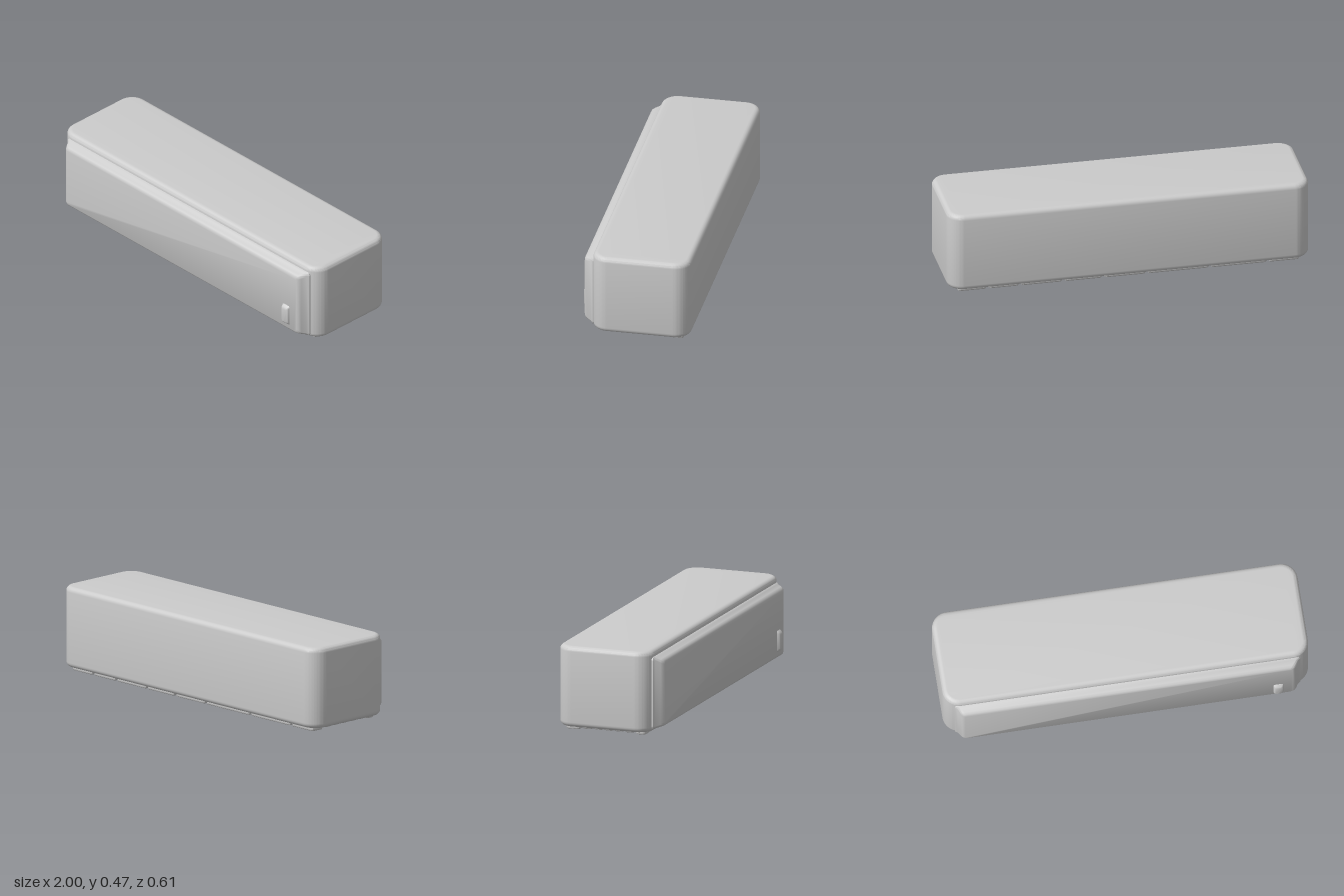
import * as THREE from 'three';
import { mergeVertices, toCreasedNormals } from 'three/addons/utils/BufferGeometryUtils.js';

const grey = new THREE.MeshStandardMaterial({ color: 0xcccccc });

function part(name, geometry) {
  const mesh = new THREE.Mesh(geometry, grey);
  mesh.name = name;
  return mesh;
}

function smooth(geometry, angle = 0.6) {
  geometry.deleteAttribute('uv');
  geometry.deleteAttribute('normal');
  return toCreasedNormals(mergeVertices(geometry, 1e-5), angle);
}

function roundedRect(x0, x1, y0, y1, r) {
  const s = new THREE.Shape();
  s.moveTo(x0 + r, y0);
  s.lineTo(x1 - r, y0);
  s.absarc(x1 - r, y0 + r, r, -Math.PI / 2, 0);
  s.lineTo(x1, y1 - r);
  s.absarc(x1 - r, y1 - r, r, 0, Math.PI / 2);
  s.lineTo(x0 + r, y1);
  s.absarc(x0 + r, y1 - r, r, Math.PI / 2, Math.PI);
  s.lineTo(x0, y0 + r);
  s.absarc(x0 + r, y0 + r, r, Math.PI, Math.PI * 1.5);
  return s;
}

// Horizontal slab with rounded corners and edges; holes go right through.
function slab([x0, x1], [z0, z1], [y0, y1], r, bevel, segments, holes = []) {
  const shape = roundedRect(x0, x1, -z1, -z0, r);
  shape.holes.push(...holes);
  const g = new THREE.ExtrudeGeometry(shape, {
    depth: y1 - y0 - 2 * bevel, bevelThickness: bevel, bevelSize: bevel,
    bevelOffset: -bevel, bevelSegments: segments, curveSegments: segments * 2,
  });
  g.rotateX(-Math.PI / 2).translate(0, y0 + bevel, 0);
  return smooth(g);
}

// Skin over rounded rectangles [z, x0, x1, y0, y1, r] running forwards, closed at the front.
function loft(sections) {
  const positions = [], index = [];
  let n = 0;
  for (const [z, x0, x1, y0, y1, r] of sections) {
    const pts = [];
    for (let c = 0; c < 4; c++) {
      const cx = c === 0 || c === 3 ? x1 - r : x0 + r;
      const cy = c < 2 ? y1 - r : y0 + r;
      for (let i = 0; i <= 5; i++) {
        const a = (c + i / 5) * Math.PI / 2;
        pts.push([cx + r * Math.cos(a), cy + r * Math.sin(a)]);
      }
    }
    n = pts.length;
    for (const [x, y] of pts) positions.push(x, y, z);
  }
  for (let s = 0; s < sections.length - 1; s++) {
    for (let i = 0; i < n; i++) {
      const a = s * n + i, b = s * n + (i + 1) % n;
      index.push(a, b, b + n, a, b + n, a + n);
    }
  }
  const last = (sections.length - 1) * n;
  for (let i = 1; i < n - 1; i++) index.push(last, last + i, last + i + 1);
  const g = new THREE.BufferGeometry();
  g.setAttribute('position', new THREE.Float32BufferAttribute(positions, 3));
  g.setIndex(index);
  return toCreasedNormals(g, 0.7);
}

export function createModel() {
  const model = new THREE.Group();

  // Main housing
  model.add(part('housing', slab([-1, 1], [-0.305, 0.237], [0.022, 0.471], 0.09, 0.028, 5)));

  // Raised front cover with sloping edges
  model.add(part('frontCover', loft([
    [0.19, -0.945, 0.945, 0.022, 0.44, 0.02],
    [0.238, -0.945, 0.945, 0.035, 0.438, 0.02],
    [0.248, -0.932, 0.932, 0.039, 0.432, 0.02],
    [0.272, -0.918, 0.918, 0.047, 0.425, 0.02],
    [0.284, -0.908, 0.908, 0.052, 0.419, 0.02],
    [0.29, -0.895, 0.895, 0.062, 0.409, 0.015],
  ])));

  // Small upright display window on the cover
  model.add(part('displayWindow', loft([
    [0.285, 0.788, 0.847, 0.08, 0.205, 0.01],
    [0.296, 0.792, 0.843, 0.088, 0.197, 0.01],
    [0.303, 0.795, 0.84, 0.093, 0.192, 0.01],
    [0.307, 0.801, 0.834, 0.101, 0.184, 0.008],
  ])));

  // Underside panels
  const underside = new THREE.Group();
  underside.name = 'underside';
  const gap = 0.006;
  const addPanel = (name, [x0, x1], [z0, z1], y, holes) => underside.add(part(name,
    slab([x0 + gap, x1 - gap], [z0 + gap, z1 - gap], [y, 0.034], 0.015, 0.008, 3, holes)));

  // Back row of panels, one with a square opening
  const backEdges = [-0.95, -0.77, -0.45, -0.1, 0.14, 0.36, 0.6, 0.78, 0.95];
  for (let i = 0; i < backEdges.length - 1; i++) {
    const span = [backEdges[i], backEdges[i + 1]];
    const opening = i === 5 ? [roundedRect(0.45, 0.53, 0.165, 0.215, 0.008)] : [];
    addPanel('backPanel', span, [-0.272, -0.18], 0, opening);
    addPanel('backInnerPanel', span, [-0.18, -0.11], 0.006);
  }

  // Brick-like panels at the left end
  const endEdges = [0.36, 0.6, 0.78, 0.95];
  const rowEdges = [-0.11, -0.03, 0.05, 0.13, 0.2];
  for (let i = 0; i < 3; i++) {
    for (let j = 0; j < 4; j++) {
      addPanel('endPanel', [endEdges[i], endEdges[i + 1]], [rowEdges[j], rowEdges[j + 1]], j === 3 ? 0.002 : 0.007);
    }
  }

  // Long strips with staggered vent holes
  for (let j = 0; j < 4; j++) {
    const z = -0.08 + j * 0.06;
    const holes = [];
    for (let i = 0; i < 10; i++) {
      const hole = new THREE.Path();
      hole.absarc(-0.79 + i * 0.115 + (j % 2) * 0.05, -z, 0.012, 0, Math.PI * 2, true);
      holes.push(hole);
    }
    addPanel('ventStrip', [-0.95, 0.36], [z - 0.031, z + 0.031], 0.007, holes);
  }

  // Front strips
  for (const span of [[-0.95, -0.77], [-0.77, -0.2], [-0.2, 0.36]]) {
    addPanel('frontStrip', span, [0.131, 0.2], 0.002);
  }
  model.add(underside);
  return model;
}
